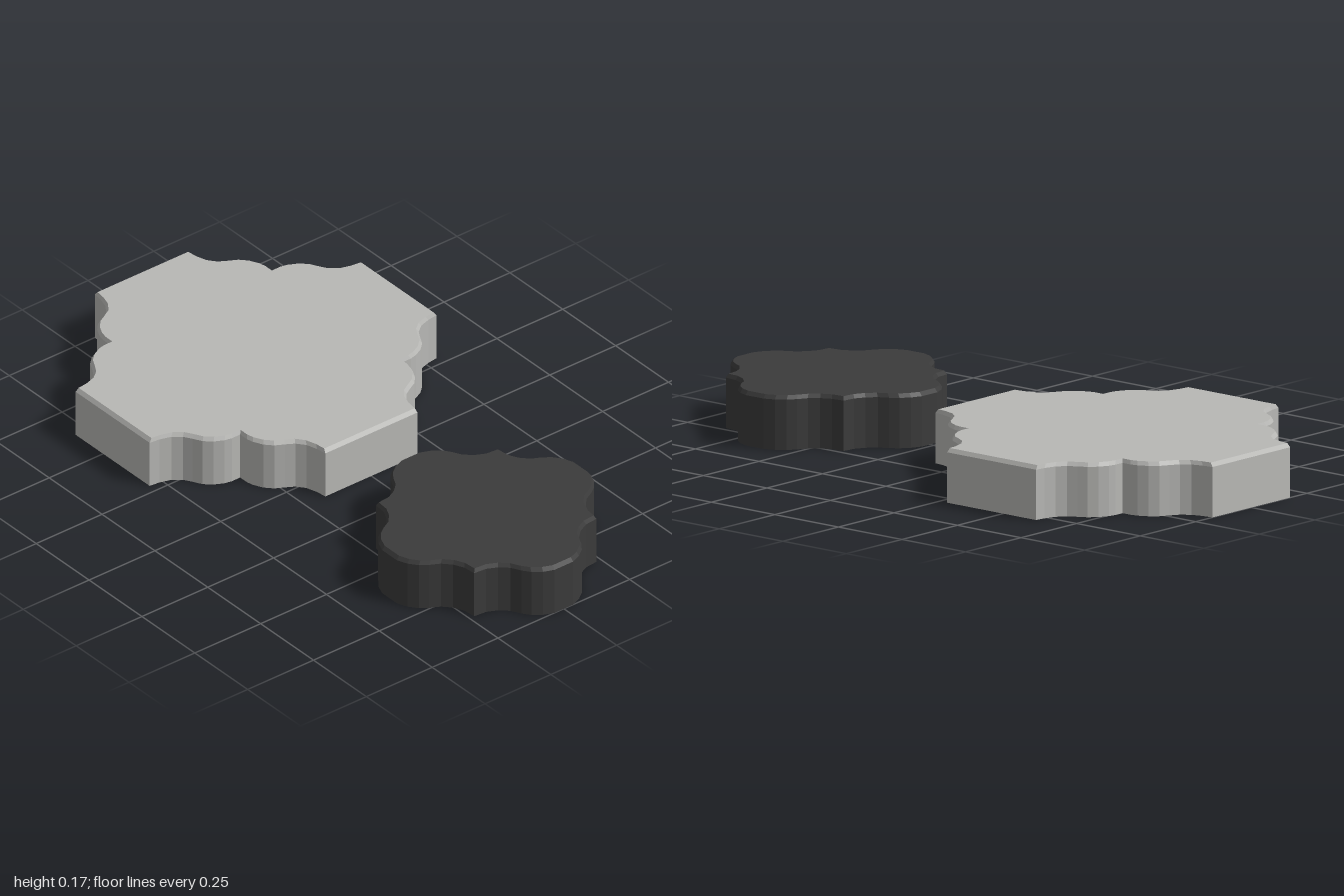
import * as THREE from 'three';

const HEIGHT = 0.165;
const RIM = 0.012; // height of the chamfer round the top

// One eighth of each outline, from the middle of a side to the inner corner
const LARGE = [
  [0.175, 0.545], [0.179, 0.511], [0.19, 0.475], [0.211, 0.448], [0.238, 0.432],
  [0.266, 0.417], [0.288, 0.393], [0.303, 0.363], [0.308, 0.34], [0.308, 0.308],
];
const SMALL = [
  [0.035, 0.367], [0.068, 0.354], [0.096, 0.333], [0.114, 0.308],
  [0.13, 0.277], [0.157, 0.252], [0.19, 0.236], [0.232, 0.232],
];

// Mirror the eighth over the diagonal, then turn the quarter four times
function outline(eighth) {
  const mirrored = eighth.slice(0, -1).reverse().map(([x, y]) => [y, x]);
  let quarter = [...eighth, ...mirrored];
  const points = [];
  for (let i = 0; i < 4; i++) {
    points.push(...quarter.map(([x, y]) => new THREE.Vector2(x, y)));
    quarter = quarter.map(([x, y]) => [y, -x]);
  }
  return new THREE.Shape(points);
}

// Slab with straight walls and a narrow chamfer at the top
function tile(name, eighth, material, x) {
  const geometry = new THREE.ExtrudeGeometry(outline(eighth), {
    depth: HEIGHT, steps: 2, bevelEnabled: false,
  });
  geometry.rotateX(-Math.PI / 2);
  const half = eighth[0][1];
  const inset = 1 - 0.009 / half;
  const p = geometry.attributes.position;
  for (let i = 0; i < p.count; i++) {
    const y = p.getY(i);
    if (y > HEIGHT * 0.75) p.setXYZ(i, p.getX(i) * inset, HEIGHT, p.getZ(i) * inset);
    else if (y > HEIGHT * 0.25) p.setY(i, HEIGHT - RIM);
  }
  geometry.computeVertexNormals();
  const mesh = new THREE.Mesh(geometry, material);
  mesh.name = name;
  mesh.position.x = x;
  return mesh;
}

export function createModel() {
  const lightStone = new THREE.MeshStandardMaterial({ color: 0xb8b8b5 });
  lightStone.name = 'light stone';
  const darkStone = new THREE.MeshStandardMaterial({ color: 0x3b3b3b });
  darkStone.name = 'dark stone';

  const model = new THREE.Group();
  model.name = 'pavingTiles';
  model.add(
    tile('largeTile', LARGE, lightStone, -0.455),
    tile('smallTile', SMALL, darkStone, 0.633),
  );
  return model;
}
